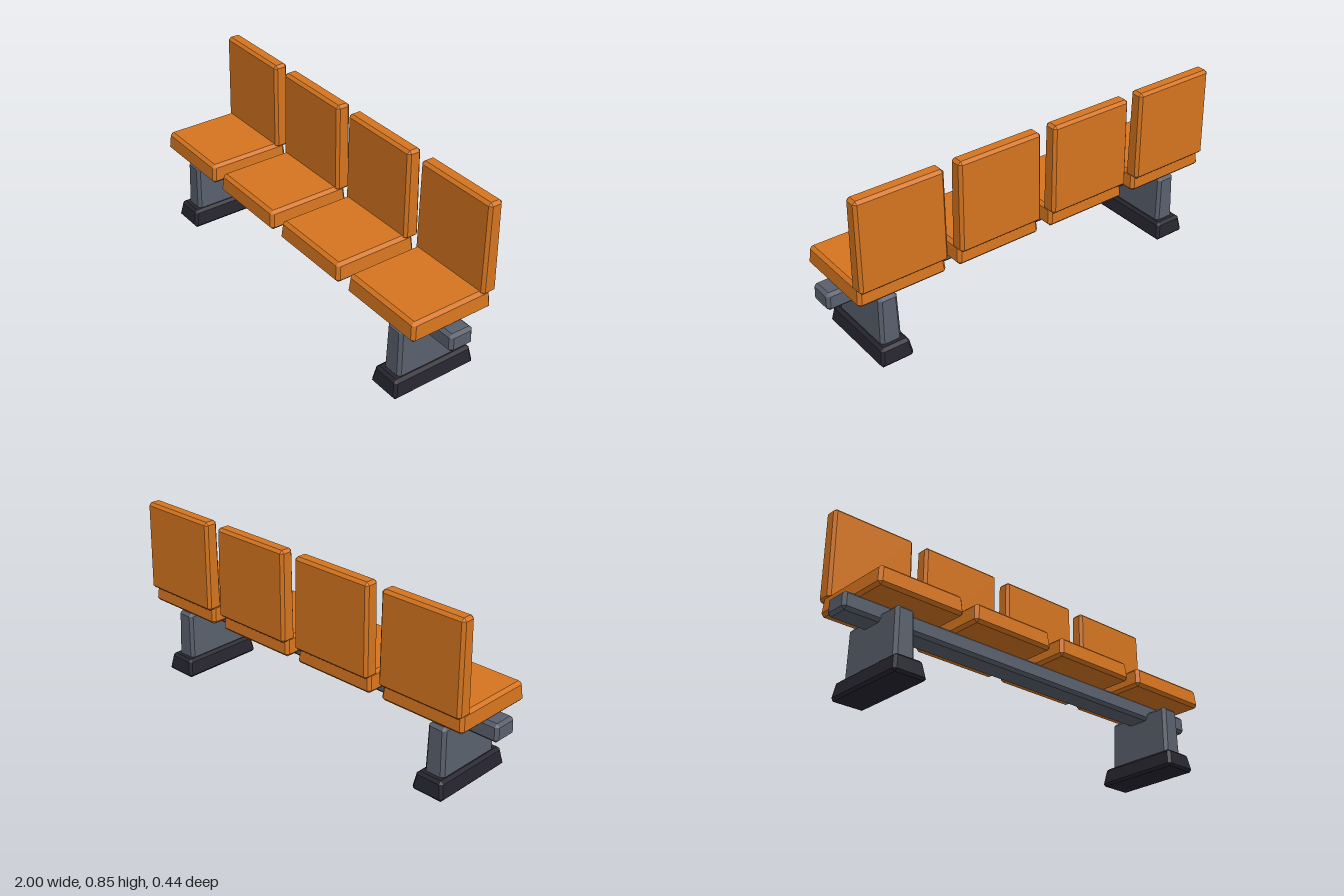
import * as THREE from 'three';
import { ConvexGeometry } from 'three/addons/geometries/ConvexGeometry.js';

const mat = (name, color) => {
  const m = new THREE.MeshStandardMaterial({ color });
  m.name = name;
  return m;
};

// Chamfered box standing on y0; every side leans in by `inset` towards the top
function taperedBox(w, y0, y1, d, chamfer, inset) {
  const h = y1 - y0, c = chamfer, pts = [];
  for (const sx of [-1, 1]) for (const sy of [-1, 1]) for (const sz of [-1, 1]) {
    for (const [cx, cy, cz] of [[0, c, c], [c, 0, c], [c, c, 0]]) {
      const y = sy * (h / 2 - cy);
      const lean = inset * (y / h + 0.5);
      pts.push(new THREE.Vector3(sx * (w / 2 - cx - lean), y0 + h / 2 + y, sz * (d / 2 - cz - lean)));
    }
  }
  return new ConvexGeometry(pts);
}

export function createModel() {
  const model = new THREE.Group();
  model.name = 'bench';
  const orange = mat('orange seat', 0xd4741f);
  const steel = mat('grey steel', 0x59606c);
  const dark = mat('dark foot', 0x26252f);

  const add = (parent, name, geometry, material, z) => {
    const mesh = new THREE.Mesh(geometry, material);
    mesh.name = name;
    mesh.position.z = z;
    parent.add(mesh);
  };

  // Long beam carrying the seats
  add(model, 'beam', taperedBox(2, 0.269, 0.353, 0.12, 0.014, 0.002), steel, 0.009);

  // Four seats, each a cushion and a backrest
  const cushion = taperedBox(0.426, 0.343, 0.435, 0.412, 0.014, 0.008);
  const backrest = taperedBox(0.422, 0.416, 0.846, 0.076, 0.013, 0.004);
  for (let i = 0; i < 4; i++) {
    const seat = new THREE.Group();
    seat.name = 'seat' + (i + 1);
    seat.position.x = (i - 1.5) * 0.484;
    add(seat, 'cushion', cushion, orange, 0.008);
    add(seat, 'backrest', backrest, orange, -0.181);
    model.add(seat);
  }

  // Two supports, each a leg on a wide foot
  const leg = taperedBox(0.102, 0.05, 0.311, 0.342, 0.014, 0.006);
  const foot = taperedBox(0.164, 0, 0.086, 0.428, 0.012, 0.015);
  for (const side of [-1, 1]) {
    const support = new THREE.Group();
    support.name = side < 0 ? 'rightSupport' : 'leftSupport';
    support.position.x = side * 0.777;
    add(support, 'leg', leg, steel, 0.009);
    add(support, 'foot', foot, dark, 0.009);
    model.add(support);
  }
  return model;
}
